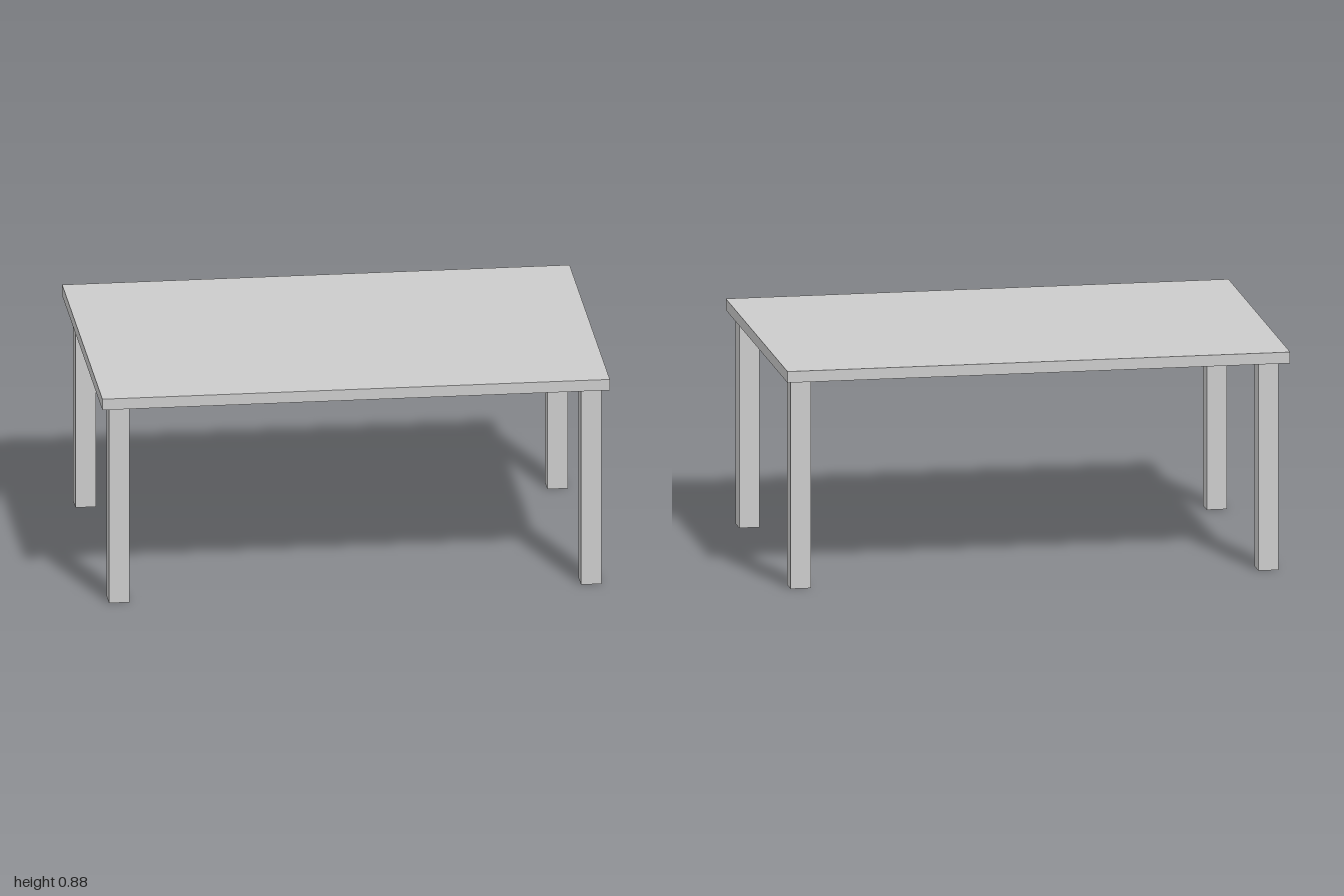
import * as THREE from 'three';

const material = new THREE.MeshStandardMaterial({ color: 0xcccccc, flatShading: true });

// Named box standing on height y
function box(name, w, h, d, x, y, z) {
  const mesh = new THREE.Mesh(new THREE.BoxGeometry(w, h, d), material);
  mesh.name = name;
  mesh.position.set(x, y + h / 2, z);
  return mesh;
}

export function createModel() {
  const table = new THREE.Group();
  table.name = 'table';

  const legHeight = 0.837, legWidth = 0.081;

  // Thin rectangular top
  table.add(box('tabletop', 2, 0.045, 1.354, 0, legHeight, 0));

  // Four square legs, set slightly off centre under the top
  for (const [side, x] of [['Right', -0.922], ['Left', 0.938]]) {
    for (const [end, z] of [['front', 0.54], ['back', -0.589]]) {
      table.add(box(`${end}${side}Leg`, legWidth, legHeight, legWidth, x, 0, z));
    }
  }
  return table;
}
